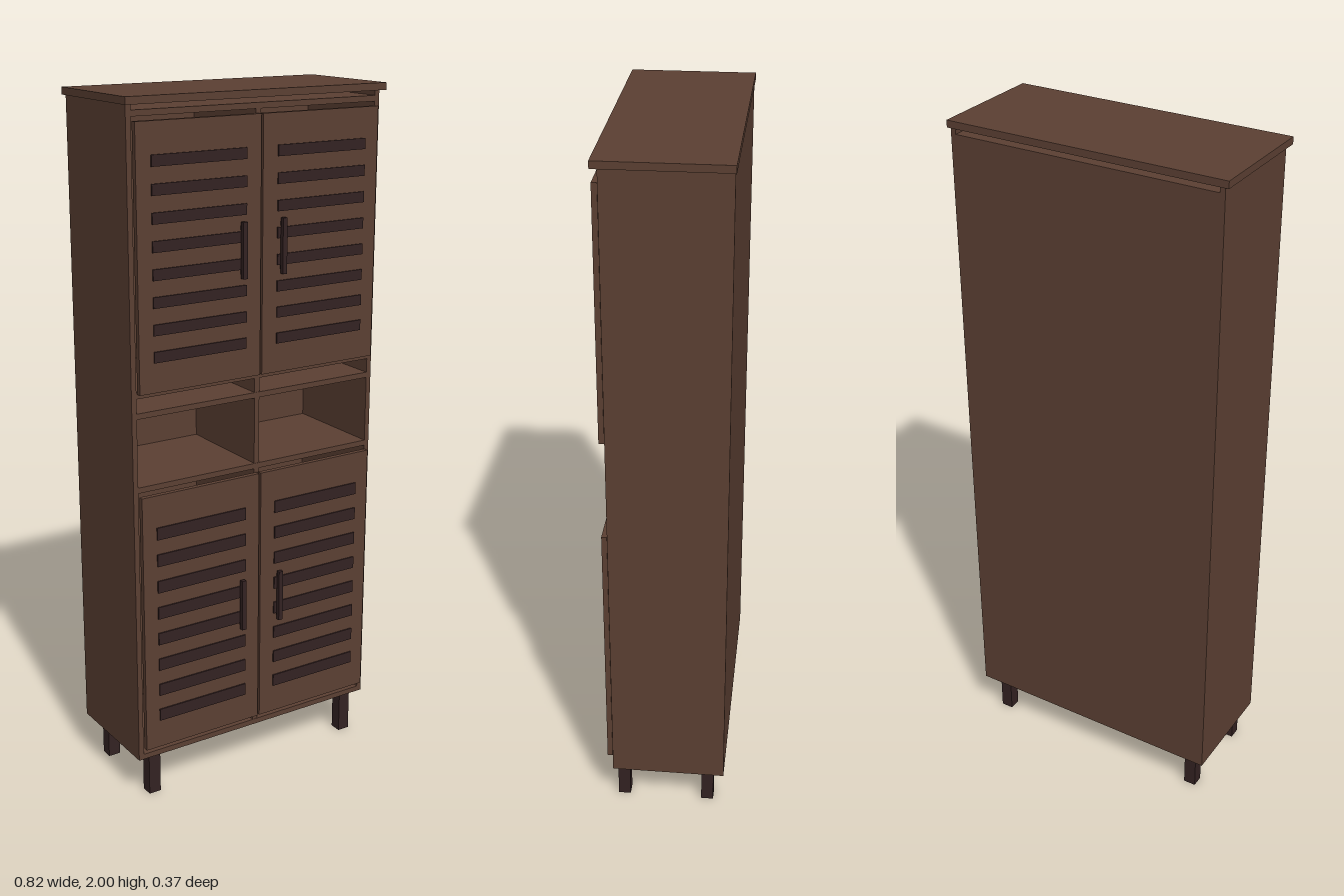
import * as THREE from 'three';

export function createModel() {
  const model = new THREE.Group();
  model.name = 'cabinet';
  const wood = new THREE.MeshStandardMaterial({ color: 0x5c4033 });
  wood.name = 'brown wood';
  const dark = new THREE.MeshStandardMaterial({ color: 0x332222 });
  dark.name = 'dark wood';

  // Box given by its limits along each axis
  function box(parent, name, material, [x0, x1], [y0, y1], [z0, z1]) {
    const mesh = new THREE.Mesh(new THREE.BoxGeometry(x1 - x0, y1 - y0, z1 - z0), material);
    mesh.position.set((x0 + x1) / 2, (y0 + y1) / 2, (z0 + z1) / 2);
    mesh.name = name;
    parent.add(mesh);
  }
  // Limits mirrored to the given side of x = 0
  const mirror = (side, a, b) => (side > 0 ? [a, b] : [-b, -a]);

  // Carcass
  const back = -0.182, front = 0.147;
  box(model, 'top', wood, [-0.41, 0.41], [1.98, 2], [-0.185, 0.165]);
  box(model, 'backPanel', wood, [-0.385, 0.385], [0.127, 1.965], [back, back + 0.012]);
  box(model, 'divider', wood, [-0.008, 0.008], [0.143, 1.965], [back + 0.012, front - 0.001]);
  for (const side of [-1, 1])
    box(model, 'sidePanel', wood, mirror(side, 0.385, 0.4), [0.127, 1.98], [back, front]);

  // Horizontal boards: bottom, niche floor, niche ceiling, upper floor, upper ceiling
  for (const y of [0.127, 0.945, 1.155, 1.212, 1.949])
    box(model, 'shelf', wood, [-0.385, 0.385], [y, y + 0.016], [back + 0.012, front]);

  // Door with louvre slats and a bar handle
  function addDoor(side, y0, y1, firstSlat, slatStep, slatHeight, handleY) {
    const door = new THREE.Group();
    door.name = 'door';
    box(door, 'doorPanel', wood, mirror(side, 0.003, 0.384), [y0, y1], [0.15, 0.165]);
    for (let i = 0; i < 8; i++) {
      const y = firstSlat + i * slatStep;
      box(door, 'slat', dark, mirror(side, 0.05, 0.34), [y - slatHeight / 2, y + slatHeight / 2], [0.162, 0.169]);
    }
    box(door, 'handleBar', dark, mirror(side, 0.057, 0.071), [handleY - 0.077, handleY + 0.077], [0.172, 0.184]);
    for (const dy of [-0.06, 0.06])
      box(door, 'handlePost', dark, mirror(side, 0.06, 0.068), [handleY + dy - 0.006, handleY + dy + 0.006], [0.163, 0.174]);
    model.add(door);
  }
  for (const side of [-1, 1]) {
    addDoor(side, 1.226, 1.938, 1.324, 0.0735, 0.03, 1.583);
    addDoor(side, 0.164, 0.935, 0.267, 0.0795, 0.036, 0.547);
    // Legs
    for (const z of [-0.132, 0.119])
      box(model, 'leg', dark, mirror(side, 0.325, 0.362), [0, 0.127], [z - 0.018, z + 0.018]);
  }
  return model;
}
